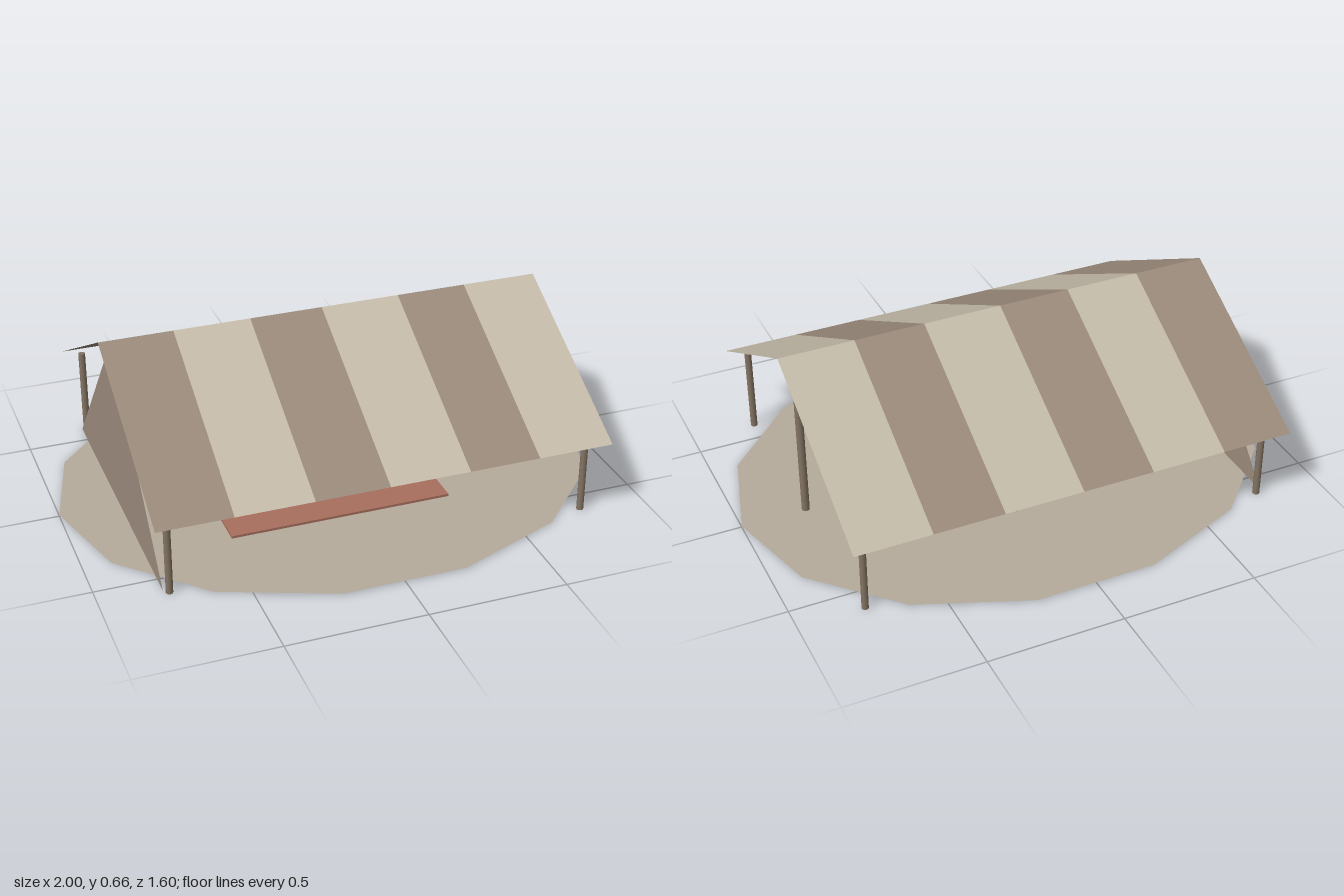
import * as THREE from 'three';

const mat = (name, color, side = THREE.FrontSide) => {
  const m = new THREE.MeshStandardMaterial({ color, side });
  m.name = name;
  return m;
};

export function createModel() {
  const group = new THREE.Group();
  const lightCanvas = mat('light canvas', 0xc6bdab, THREE.DoubleSide);
  const brownCanvas = mat('brown canvas', 0x9d8c7d, THREE.DoubleSide);
  const sand = mat('sand', 0xb6ac9c, THREE.DoubleSide);
  const wood = mat('wood', 0x857564);
  const rugRed = mat('rug red', 0xa86f5e);
  const worn = mat('worn earth', 0x8e8473);

  const add = (name, geometry, material, x = 0, y = 0, z = 0) => {
    const mesh = new THREE.Mesh(geometry, material);
    mesh.name = name;
    mesh.position.set(x, y, z);
    group.add(mesh);
    return mesh;
  };

  // Flat polygon from corners given counter-clockwise
  const sheet = (corners) => {
    const g = new THREE.BufferGeometry();
    const index = [];
    for (let i = 1; i < corners.length - 1; i++) index.push(0, i, i + 1);
    g.setAttribute('position', new THREE.Float32BufferAttribute(corners.flat(), 3));
    g.setIndex(index);
    g.computeVertexNormals();
    return g;
  };

  // Fourteen-sided ground patch
  const ground = [];
  for (let i = 0; i < 14; i++) {
    const a = (i / 14) * Math.PI * 2;
    ground.push([Math.cos(a), 0.004, -0.82 * Math.sin(a)]);
  }
  add('ground', sheet(ground), sand);

  // Worn circle, rug and sleeping mat
  add('wornCircle', new THREE.CylinderGeometry(0.33, 0.33, 0.004, 20), worn, 0.08, 0.004, 0);
  add('rug', new THREE.BoxGeometry(0.82, 0.012, 0.65), rugRed, -0.06, 0.007, 0.03);
  add('mat', new THREE.BoxGeometry(0.46, 0.009, 0.3), lightCanvas, -0.06, 0.0175, 0.03);

  // Striped roof: two sloping sheets meeting at the ridge
  const edges = [-0.82, -0.553, -0.274, -0.008, 0.283, 0.542, 0.82];
  const ridge = 0.66, eave = 0.3, reach = 0.675;
  for (let i = 0; i < 6; i++) {
    const [a, b] = [edges[i], edges[i + 1]];
    const m = i % 2 ? lightCanvas : brownCanvas;
    add('roofFrontStripe', sheet([[a, eave, reach], [b, eave, reach], [b, ridge, 0], [a, ridge, 0]]), m);
    add('roofBackStripe', sheet([[b, eave, -reach], [a, eave, -reach], [a, ridge, 0], [b, ridge, 0]]), m);
  }

  // Triangular end wall
  add('endWall', sheet([[-0.78, 0.004, -0.58], [-0.78, 0.004, 0.58], [-0.78, 0.645, 0]]), brownCanvas);

  // Ridge poles and corner poles
  const pole = (name, r, h, x, z) =>
    add(name, new THREE.CylinderGeometry(r, r, h, 8), wood, x, h / 2, z);
  for (const x of [-0.76, 0, 0.76]) pole('ridgePole', 0.015, 0.65, x, 0);
  for (const x of [-0.76, 0.76])
    for (const z of [-0.588, 0.588]) pole('cornerPole', 0.013, 0.325, x, z);

  return group;
}
